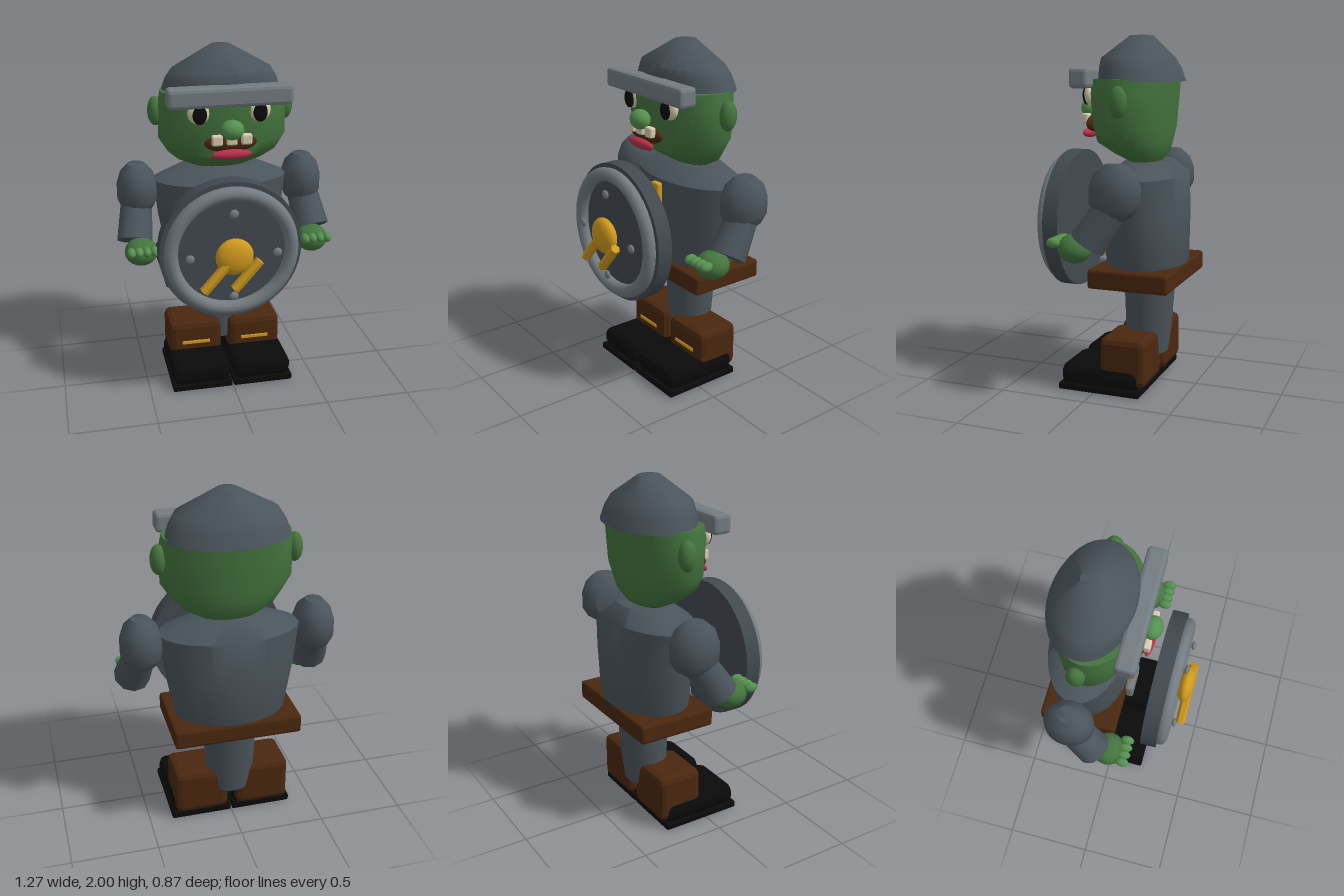
import * as THREE from 'three';
import { toCreasedNormals } from 'three/addons/utils/BufferGeometryUtils.js';
import { RoundedBoxGeometry } from 'three/addons/geometries/RoundedBoxGeometry.js';

const mat = (name, color) => {
  const m = new THREE.MeshStandardMaterial({ color });
  m.name = name;
  return m;
};

export function createModel() {
  const armour = mat('armour grey', 0x4a545b);
  const shieldGrey = mat('shield grey', 0x424a50);
  const steel = mat('light steel', 0x737c82);
  const skin = mat('green skin', 0x44743e);
  const lightSkin = mat('light green skin', 0x559150);
  const brown = mat('brown leather', 0x4a270f);
  const black = mat('black', 0x0a0a0a);
  const gold = mat('gold', 0xd09a1e);
  const cream = mat('cream', 0xd6ccb0);
  const red = mat('lip red', 0xb8304a);

  const model = new THREE.Group();
  const add = (name, geo, material, x = 0, y = 0, z = 0, parent = model) => {
    const mesh = new THREE.Mesh(geo, material);
    mesh.name = name;
    mesh.position.set(x, y, z);
    parent.add(mesh);
    return mesh;
  };
  // Box with flat chamfered edges
  const box = (w, h, d, bevel = 0.015) => {
    const g = new RoundedBoxGeometry(w, h, d, 1, bevel);
    g.computeVertexNormals();
    return g;
  };
  const ball = (rx, ry, rz, w = 20, h = 12) => new THREE.SphereGeometry(1, w, h).scale(rx, ry, rz);

  // Closed body from elliptical rings, top to bottom: [y, rx, rz, centre z]
  const loft = (rings, n = 32) => {
    const first = rings[0], last = rings[rings.length - 1];
    const all = [[first[0], 0, 0, first[3]], ...rings, [last[0], 0, 0, last[3]]];
    const pos = [], idx = [];
    all.forEach(([y, rx, rz, cz], i) => {
      for (let j = 0; j < n; j++) {
        const a = (j / n) * Math.PI * 2;
        pos.push(rx * Math.sin(a), y, cz + rz * Math.cos(a));
        if (i === all.length - 1) continue;
        const p = i * n + j, q = i * n + ((j + 1) % n);
        if (i > 0) idx.push(p, p + n, q);
        else idx.push(p, p + n, q + n);
        if (i > 0 && i < all.length - 2) idx.push(q, p + n, q + n);
      }
    });
    const g = new THREE.BufferGeometry();
    g.setAttribute('position', new THREE.Float32BufferAttribute(pos, 3));
    g.setIndex(idx);
    return toCreasedNormals(g, 0.75);
  };

  // Head and helmet
  add('head', loft([
    [1.76, 0.355, 0.235, -0.13], [1.68, 0.37, 0.235, -0.123], [1.49, 0.37, 0.215, -0.125],
    [1.41, 0.32, 0.2, -0.125], [1.35, 0.26, 0.145, -0.165], [1.3, 0.16, 0.085, -0.19],
  ]), skin);
  add('helmet', loft([
    [2.0, 0.06, 0.065, -0.155], [1.875, 0.285, 0.2, -0.14],
    [1.82, 0.32, 0.22, -0.152], [1.745, 0.345, 0.235, -0.163],
  ]), armour);
  add('helmetBrow', box(0.7, 0.11, 0.11, 0.02), steel, 0, 1.765, 0.09);

  // Face
  for (const s of [1, -1]) {
    add('ear', ball(0.045, 0.085, 0.052), skin, s * 0.38, 1.64, -0.155);
    add('eyeWhite', ball(0.065, 0.065, 0.035), cream, s * 0.17, 1.675, 0.08);
    add('pupil', ball(0.04, 0.053, 0.02), black, s * 0.17, 1.668, 0.108);
  }
  add('nose', ball(0.067, 0.056, 0.055), lightSkin, 0, 1.59, 0.155);
  add('mouth', ball(0.15, 0.052, 0.03), brown, 0, 1.507, 0.115);
  add('lowerLip', ball(0.115, 0.029, 0.027), red, 0, 1.45, 0.15);
  for (const x of [-0.083, 0, 0.083])
    add('tooth', box(0.06, 0.06, 0.04, 0.01), cream, x, 1.533, 0.147);

  // Torso, belt and chest trim
  add('torso', loft([
    [1.3, 0.21, 0.135, -0.21], [1.22, 0.4, 0.225, -0.195], [1.0, 0.375, 0.23, -0.2],
    [0.72, 0.325, 0.228, -0.203], [0.58, 0.27, 0.185, -0.185],
  ]), armour);
  add('belt', box(0.735, 0.11, 0.465), brown, 0, 0.662, -0.2);
  add('beltBuckle', box(0.18, 0.14, 0.05), steel, 0, 0.66, 0.05);
  add('chestTrim', box(0.07, 0.47, 0.04, 0.01), gold, 0, 0.965, 0.042);

  // Legs
  add('legs', loft([
    [0.6, 0.157, 0.148, -0.215], [0.32, 0.143, 0.132, -0.21], [0.18, 0.13, 0.118, -0.205],
  ]), armour);

  for (const s of [1, -1]) {
    const boot = new THREE.Group();
    boot.name = s > 0 ? 'leftBoot' : 'rightBoot';
    model.add(boot);
    add('bootShaft', box(0.32, 0.275, 0.27, 0.035), brown, s * 0.185, 0.187, -0.163, boot);
    add('bootStripe', box(0.17, 0.02, 0.009, 0.002), gold, s * 0.185, 0.195, -0.025, boot);
    add('shoe', box(0.35, 0.125, 0.47, 0.045), black, s * 0.185, 0.088, -0.03, boot);
    add('sole', box(0.362, 0.04, 0.485, 0.01), black, s * 0.185, 0.02, -0.03, boot);
  }

  // Arms
  const upperArm = loft([
    [0.16, 0.05, 0.055, 0], [0.11, 0.095, 0.115, 0], [0.04, 0.117, 0.14, 0],
    [-0.05, 0.117, 0.14, 0], [-0.1, 0.095, 0.11, 0], [-0.14, 0.05, 0.05, 0],
  ], 24);
  const shoulder = new THREE.Vector3(0.5, 1.13, -0.19);
  const wrist = new THREE.Vector3(0.535, 0.9, -0.045);
  const along = wrist.clone().sub(shoulder);
  const forearm = toCreasedNormals(
    new THREE.CylinderGeometry(0.09, 0.105, along.length(), 10), 0.8);
  for (const s of [1, -1]) {
    const arm = new THREE.Group();
    arm.name = s > 0 ? 'leftArm' : 'rightArm';
    model.add(arm);
    add('upperArm', upperArm, armour, s * 0.497, 1.165, -0.185, arm);
    const mid = shoulder.clone().add(wrist).multiplyScalar(0.5);
    const lower = add('forearm', forearm, armour, s * mid.x, mid.y, mid.z, arm);
    lower.quaternion.setFromUnitVectors(
      new THREE.Vector3(0, -1, 0), new THREE.Vector3(s * along.x, along.y, along.z).normalize());
    add('hand', ball(0.095, 0.08, 0.095), skin, s * 0.51, 0.865, 0.04, arm);
    for (let i = 0; i < 4; i++)
      add('finger', ball(0.026, 0.028, 0.04, 12, 8), lightSkin, s * (0.443 + i * 0.044), 0.9, 0.137, arm);
  }

  // Shield
  const shield = new THREE.Group();
  shield.name = 'shield';
  shield.position.set(-0.035, 0.938, 0);
  model.add(shield);
  const disc = toCreasedNormals(
    new THREE.CylinderGeometry(0.405, 0.405, 0.09, 48).rotateX(Math.PI / 2), 0.7);
  add('shieldDisc', disc, shieldGrey, 0, 0, 0.255, shield);
  add('shieldRim', new THREE.TorusGeometry(0.343, 0.04, 12, 48), steel, 0, 0, 0.315, shield);
  for (let i = 0; i < 4; i++) {
    const a = (i * Math.PI) / 2;
    add('rivet', ball(0.026, 0.026, 0.014, 12, 8), steel,
      0.246 * Math.cos(a), 0.246 * Math.sin(a), 0.372, shield);
  }
  // Gold boss with two slanted bars
  add('boss', ball(0.107, 0.107, 0.05, 28, 14), gold, 0, 0, 0.385, shield);
  for (const x of [-0.106, 0.068]) {
    const bar = add('emblemBar',
      toCreasedNormals(new THREE.CylinderGeometry(0.028, 0.028, 0.215, 6), 0.5),
      gold, x, -0.108, 0.403, shield);
    bar.rotation.z = -0.72;
  }

  return model;
}
